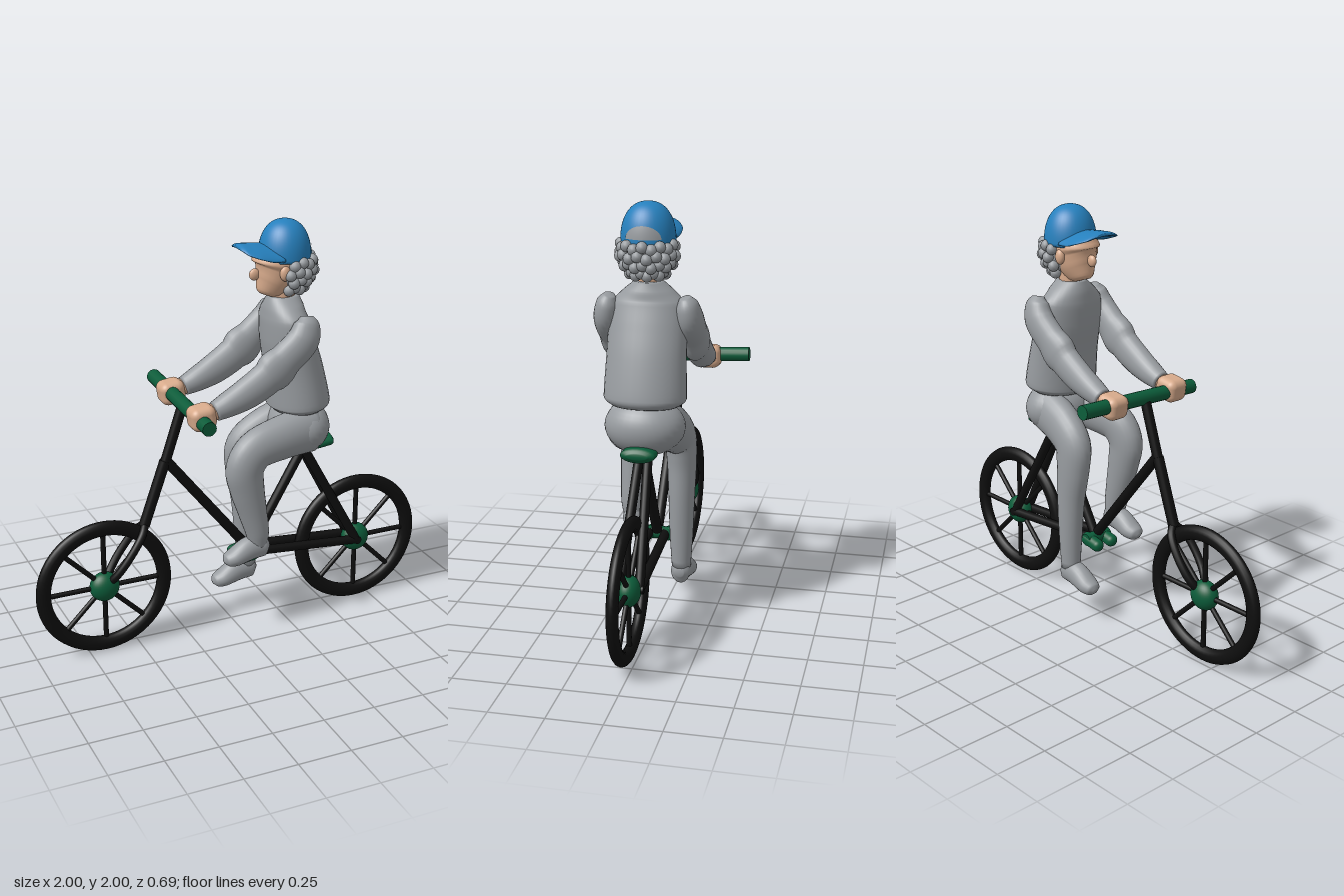
import * as THREE from 'three';
import { RoundedBoxGeometry } from 'three/addons/geometries/RoundedBoxGeometry.js';

const V = (x, y, z = 0) => new THREE.Vector3(x, y, z);

function makeMaterial(name, color) {
  const m = new THREE.MeshStandardMaterial({ color });
  m.name = name;
  return m;
}

// Smooth closed skin through sections [x, y, z, radius in the xy plane, radius along z]
function loft(sections, steps = 5, sides = 24) {
  const path = new THREE.CatmullRomCurve3(sections.map(s => V(s[0], s[1], s[2])));
  const radii = new THREE.CatmullRomCurve3(sections.map(s => V(s[3], s[4])));
  const rings = (sections.length - 1) * steps;
  const pos = [], index = [];
  for (let i = 0; i <= rings; i++) {
    const p = path.getPoint(i / rings), r = radii.getPoint(i / rings);
    const t = path.getTangent(i / rings);
    const b = V(0, 0, 1).addScaledVector(t, -t.z).normalize();
    const n = b.clone().cross(t);
    for (let j = 0; j < sides; j++) {
      const a = j / sides * Math.PI * 2;
      const q = p.clone().addScaledVector(n, Math.cos(a) * r.x).addScaledVector(b, Math.sin(a) * r.y);
      pos.push(q.x, q.y, q.z);
    }
  }
  for (let i = 0; i < rings; i++) for (let j = 0; j < sides; j++) {
    const k = (j + 1) % sides;
    const a = i * sides + j, b = i * sides + k, c = a + sides, d = b + sides;
    index.push(a, b, c, b, d, c);
  }
  // End caps
  const first = sections[0], last = sections[sections.length - 1];
  const s0 = pos.length / 3, top = rings * sides;
  pos.push(...first.slice(0, 3), ...last.slice(0, 3));
  for (let j = 0; j < sides; j++) {
    const k = (j + 1) % sides;
    index.push(s0, k, j, s0 + 1, top + j, top + k);
  }
  const g = new THREE.BufferGeometry();
  g.setAttribute('position', new THREE.Float32BufferAttribute(pos, 3));
  g.setIndex(index);
  g.computeVertexNormals();
  return g;
}

export function createModel() {
  const model = new THREE.Group();
  model.name = 'cyclist';
  const grey = makeMaterial('clothGrey', 0x989ca0);
  const blue = makeMaterial('capBlue', 0x2680bd);
  const green = makeMaterial('green', 0x0c5c3a);
  const black = makeMaterial('black', 0x0e0e0e);
  const skin = makeMaterial('skin', 0xd8ab8c);

  // The bicycle's middle plane lies slightly to +z
  const MID = 0.033;
  const bike = new THREE.Group(), rider = new THREE.Group();
  bike.name = 'bicycle';
  rider.name = 'rider';
  bike.position.z = rider.position.z = MID;
  model.add(bike, rider);

  function add(parent, name, geometry, material, p = V(0, 0)) {
    const mesh = new THREE.Mesh(geometry, material);
    mesh.name = name;
    mesh.position.copy(p);
    parent.add(mesh);
    return mesh;
  }
  function bar(parent, name, a, b, r, material = black) {
    const d = b.clone().sub(a);
    const mesh = add(parent, name, new THREE.CylinderGeometry(r, r, d.length(), 16), material,
      a.clone().add(b).multiplyScalar(0.5));
    mesh.quaternion.setFromUnitVectors(V(0, 1), d.normalize());
  }
  function ball(parent, name, material, p, rx, ry, rz) {
    add(parent, name, new THREE.SphereGeometry(1, 32, 20), material, p).scale.set(rx, ry, rz);
  }

  // Wheels with tyre, spokes and hub
  for (const [name, x] of [['frontWheel', -0.665], ['rearWheel', 0.665]]) {
    const wheel = new THREE.Group();
    wheel.name = name;
    wheel.position.set(x, 0.335, 0);
    bike.add(wheel);
    add(wheel, 'tyre', new THREE.TorusGeometry(0.298, 0.036, 14, 64), black).scale.z = 0.75;
    for (let i = 0; i < 4; i++) {
      const c = Math.cos(i * Math.PI / 4) * 0.275, s = Math.sin(i * Math.PI / 4) * 0.275;
      bar(wheel, 'spokePair', V(-c, -s), V(c, s), 0.012);
    }
    ball(wheel, 'hub', green, V(0, 0), 0.072, 0.072, 0.055);
  }

  // Frame tubes
  bar(bike, 'steeringTube', V(-0.26, 1.18), V(-0.35, 0.91), 0.024);
  bar(bike, 'headTube', V(-0.35, 0.92), V(-0.46, 0.61), 0.026);
  bar(bike, 'downTube', V(-0.345, 0.92), V(0.06, 0.41), 0.024);
  bar(bike, 'seatTube', V(0.37, 0.88), V(0.09, 0.4), 0.024);
  for (const s of [-1, 1]) {
    const blade = new THREE.CatmullRomCurve3([V(-0.455, 0.62), V(-0.485, 0.58, s * 0.04),
      V(-0.555, 0.485, s * 0.057), V(-0.62, 0.395, s * 0.042), V(-0.66, 0.34)]);
    add(bike, 'forkBlade', new THREE.TubeGeometry(blade, 24, 0.019, 12), black);
    bar(bike, 'seatStay', V(0.365, 0.86, s * 0.02), V(0.645, 0.345, s * 0.045), 0.022);
    bar(bike, 'chainStay', V(0.08, 0.385, s * 0.04), V(0.645, 0.34, s * 0.045), 0.022);
    // Pedals on both sides of the crank
    const pedal = add(bike, 'pedal', new RoundedBoxGeometry(0.13, 0.06, 0.06, 4, 0.028), green,
      V(0.05, 0.37, s * 0.045));
    pedal.rotation.z = 0.2;
  }
  bar(bike, 'crankAxle', V(0.07, 0.38, -0.07), V(0.07, 0.38, 0.07), 0.03, green);
  bar(bike, 'rearAxle', V(0.65, 0.34, -0.065), V(0.65, 0.34, 0.065), 0.02);
  add(bike, 'saddle', loft([[0.2, 0.875, 0, 0.01, 0.02], [0.23, 0.88, 0, 0.022, 0.03],
    [0.35, 0.89, 0, 0.03, 0.05], [0.43, 0.9, 0, 0.036, 0.08], [0.485, 0.905, 0, 0.034, 0.08],
    [0.505, 0.905, 0, 0.012, 0.045]]), green);

  // Handlebar
  bar(model, 'handlebar', V(-0.255, 1.2, -0.345), V(-0.255, 1.17, 0.34), 0.034, green);

  // Torso and hips
  add(rider, 'jacket', loft([[0.33, 1.095, 0, 0.12, 0.15], [0.327, 1.13, 0, 0.145, 0.188],
    [0.3, 1.3, 0, 0.13, 0.182], [0.265, 1.45, 0, 0.115, 0.178], [0.247, 1.55, 0, 0.1, 0.165],
    [0.245, 1.605, 0, 0.09, 0.115], [0.245, 1.65, 0, 0.075, 0.06]], 6, 32), grey);
  ball(rider, 'hips', grey, V(0.33, 1.0), 0.145, 0.135, 0.185);

  // Sleeves and hands
  for (const s of [-1, 1]) {
    add(rider, 'sleeve', loft([[0.285, 1.585, s * 0.17, 0.03, 0.025], [0.28, 1.55, s * 0.18, 0.062, 0.05],
      [0.255, 1.48, s * 0.19, 0.08, 0.06], [0.17, 1.4, s * 0.19, 0.082, 0.06],
      [0.08, 1.325, s * 0.188, 0.082, 0.06], [-0.02, 1.265, s * 0.187, 0.075, 0.058],
      [-0.12, 1.222, s * 0.185, 0.058, 0.054], [-0.18, 1.2, s * 0.185, 0.045, 0.045]]), grey);
    const hand = add(rider, 'hand', new RoundedBoxGeometry(0.12, 0.11, 0.115, 4, 0.035), skin,
      V(-0.243, 1.185, s * 0.185));
    hand.rotation.z = 0.15;
    bar(rider, 'wrist', V(-0.23, 1.185, s * 0.185), V(-0.15, 1.21, s * 0.185), 0.04, skin);
  }

  // Raised leg on the +z side, stretched leg on the other
  add(rider, 'raisedLeg', loft([[0.4, 1.0, 0.08, 0.05, 0.05], [0.35, 1.0, 0.09, 0.115, 0.085],
    [0.2, 0.985, 0.105, 0.108, 0.085], [0.05, 0.945, 0.12, 0.098, 0.075], [0, 0.87, 0.125, 0.095, 0.07],
    [0.01, 0.77, 0.125, 0.085, 0.066], [0.04, 0.64, 0.125, 0.07, 0.06],
    [0.065, 0.53, 0.125, 0.057, 0.054], [0.07, 0.46, 0.12, 0.045, 0.045]]), grey);
  add(rider, 'stretchedLeg', loft([[0.39, 1.02, -0.08, 0.05, 0.05], [0.33, 1.0, -0.085, 0.115, 0.085],
    [0.2, 0.95, -0.1, 0.11, 0.08], [0.11, 0.88, -0.115, 0.1, 0.075], [0.1, 0.78, -0.122, 0.09, 0.07],
    [0.115, 0.6, -0.125, 0.072, 0.062], [0.12, 0.4, -0.125, 0.058, 0.055],
    [0.12, 0.24, -0.125, 0.048, 0.045]]), grey);

  // Shoes
  const shoe = loft([[0.125, 0.455, 0, 0.018, 0.02], [0.1, 0.455, 0, 0.058, 0.045],
    [0.03, 0.45, 0, 0.06, 0.05], [-0.05, 0.418, 0, 0.045, 0.052], [-0.09, 0.407, 0, 0.032, 0.038],
    [-0.105, 0.402, 0, 0.01, 0.012]]);
  add(rider, 'raisedShoe', shoe, grey, V(0, 0, 0.12));
  add(rider, 'stretchedShoe', shoe, grey, V(0.045, -0.235, -0.125));

  // Head
  bar(rider, 'neck', V(0.24, 1.6), V(0.235, 1.74), 0.062, skin);
  add(rider, 'face', loft([[0.165, 1.655, 0, 0.04, 0.035], [0.17, 1.67, 0, 0.062, 0.055],
    [0.195, 1.72, 0, 0.09, 0.085], [0.22, 1.78, 0, 0.115, 0.1], [0.23, 1.85, 0, 0.115, 0.1]]), skin);
  ball(rider, 'nose', skin, V(0.1, 1.757), 0.026, 0.028, 0.016);
  for (const s of [-1, 1]) ball(rider, 'ear', skin, V(0.205, 1.775, s * 0.103), 0.025, 0.036, 0.02);

  // Curly hair around the back and sides
  ball(rider, 'hairBase', grey, V(0.27, 1.765), 0.105, 0.095, 0.112);
  const curl = new THREE.SphereGeometry(0.027, 12, 8);
  [[1.805, 0.118], [1.765, 0.123], [1.725, 0.108], [1.685, 0.08]].forEach(([y, r], row) => {
    for (let i = 0; i < 11; i++) {
      const a = (i - 5 + (row % 2) * 0.5) * 0.34;
      add(rider, 'curl', curl, grey, V(0.262 + Math.cos(a) * r, y + (i % 2) * 0.012, Math.sin(a) * r));
    }
  });

  // Cap: dome, rear opening and brim
  const domeRadius = h => Math.pow(1 - Math.pow(h, 2.3), 1 / 2.3);
  const profile = [new THREE.Vector2(0, 0)];
  for (let i = 0; i <= 20; i++) {
    const h = Math.sin(i / 20 * Math.PI / 2);
    profile.push(new THREE.Vector2(domeRadius(Math.min(h, 1)), h));
  }
  add(rider, 'capDome', new THREE.LatheGeometry(profile, 40), blue, V(0.25, 1.82)).scale.set(0.122, 0.18, 0.124);
  const opening = new THREE.RingGeometry(0.001, 1, 28, 6, 0, Math.PI);
  const op = opening.attributes.position;
  for (let i = 0; i < op.count; i++) {
    const z = -op.getX(i) * 0.08, y = 0.028 + op.getY(i) * 0.06;
    const r = domeRadius(y / 0.18), w = z / 0.124;
    op.setXYZ(i, 0.122 * Math.sqrt(r * r - w * w) + 0.004, y, z);
  }
  opening.computeVertexNormals();
  add(rider, 'capOpening', opening, grey, V(0.25, 1.82));
  const brim = loft([[0.2, 1.865, 0, 0.025, 0.118], [0.14, 1.872, 0, 0.024, 0.122],
    [0.08, 1.887, 0, 0.015, 0.12], [0.03, 1.893, 0, 0.012, 0.095], [0.012, 1.893, 0, 0.006, 0.05]], 6, 32);
  const bp = brim.attributes.position;
  for (let i = 0; i < bp.count; i++) bp.setY(i, bp.getY(i) - 2.2 * bp.getZ(i) ** 2);
  brim.computeVertexNormals();
  add(rider, 'capBrim', brim, blue);

  return model;
}
